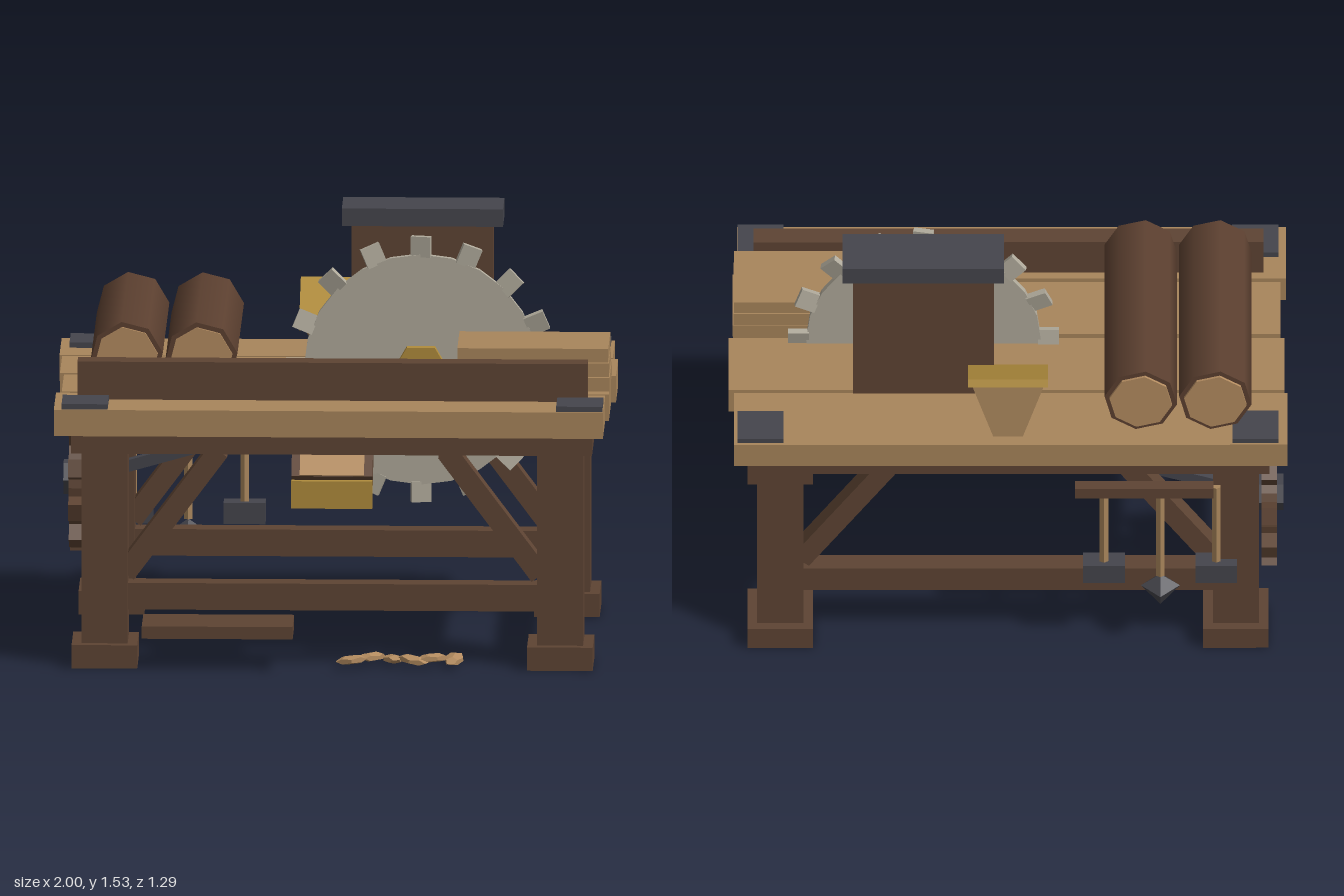
import * as THREE from 'three';

const mat = (name, color, flat = true) => {
  const m = new THREE.MeshStandardMaterial({ color, flatShading: flat });
  m.name = name;
  return m;
};

export function createModel() {
  const timber = mat('dark timber', 0x5e4433);
  const bark = mat('bark', 0x5c4030, false);
  const plank = mat('plank wood', 0xa8855b);
  const paleWood = mat('pale cut wood', 0xb48c60);
  const iron = mat('dark iron', 0x45454c);
  const steel = mat('blade steel', 0xb0aa9b);
  const brass = mat('brass', 0xb08c3c);

  const root = new THREE.Group();
  const add = (name, geo, m, x = 0, y = 0, z = 0, parent = root) => {
    const mesh = new THREE.Mesh(geo, m);
    mesh.name = name;
    mesh.position.set(x, y, z);
    parent.add(mesh);
    return mesh;
  };
  // box given by its lower and upper limits on each axis
  const block = (name, m, x0, x1, y0, y1, z0, z1) =>
    add(name, new THREE.BoxGeometry(x1 - x0, y1 - y0, z1 - z0), m,
      (x0 + x1) / 2, (y0 + y1) / 2, (z0 + z1) / 2);
  const group = (name, x, y, z) => {
    const g = new THREE.Group();
    g.name = name;
    g.position.set(x, y, z);
    root.add(g);
    return g;
  };

  // legs, feet, corner plates and diagonal braces
  for (const s of [-1, 1]) {
    for (const z of [0.47, -0.483]) {
      const x = s * 0.815;
      add('leg', new THREE.BoxGeometry(0.165, 0.75, 0.168), timber, x, 0.43, z);
      add('foot', new THREE.BoxGeometry(0.235, 0.085, 0.238), timber, x, 0.0425, z);
      add('brace', new THREE.BoxGeometry(0.075, 0.56, 0.075), timber, s * 0.575, 0.555, z)
        .rotation.z = s * 0.64;
      add('cornerPlate', new THREE.BoxGeometry(0.165, 0.022, 0.165), iron,
        s * 0.885, 0.96, z > 0 ? 0.535 : -0.553);
    }
    block('sideRail', timber, s * 0.815 - 0.04, s * 0.815 + 0.04, 0.2, 0.295, -0.4, 0.39);
  }
  for (const z of [0.47, -0.483]) block('longRail', timber, -0.74, 0.74, 0.2, 0.297, z - 0.04, z + 0.04);

  // table
  block('tableFrame', timber, -0.935, 0.93, 0.785, 0.856, -0.6, 0.59);
  [[-1, 0.98, -0.645], [-0.99, 1, -0.325], [-0.975, 0.983, 0.003], [-0.995, 0.97, 0.325]]
    .forEach(([x0, x1, z]) => block('tablePlank', plank, x0, x1, 0.856, 0.952, z, z + 0.303));
  block('fence', timber, -0.915, 0.91, 0.95, 1.09, 0.36, 0.44);

  // pillar
  block('pillar', timber, 0.05, 0.555, 0.95, 1.466, -0.345, -0.18);
  block('pillarCap', iron, 0.015, 0.592, 1.466, 1.53, -0.365, -0.16);

  // saw blade
  const saw = group('sawBlade', 0.302, 0.97, -0.042);
  add('bladeDisc', new THREE.CylinderGeometry(0.42, 0.42, 0.024, 24).rotateX(Math.PI / 2), steel, 0, 0, 0, saw);
  for (let i = 0; i < 16; i++) {
    const arm = new THREE.Group();
    arm.name = 'toothArm';
    arm.rotation.z = i * Math.PI / 8;
    saw.add(arm);
    const tooth = add('bladeTooth', new THREE.BoxGeometry(0.072, 0.075, 0.024), steel, 0, 0.447, 0, arm);
    tooth.rotation.y = i % 2 ? 0.2 : -0.2;
  }
  add('bladeHub', new THREE.CylinderGeometry(0.1, 0.1, 0.1, 6).rotateX(Math.PI / 2).rotateZ(Math.PI / 6), brass, 0, 0, -0.003, saw)
    .rotation.z = 0;

  // logs
  for (const x of [-0.742, -0.475]) {
    const log = group('log', x, 1.083, -0.112);
    const turn = (r, len) => new THREE.CylinderGeometry(r, r, len, 8).rotateX(Math.PI / 2).rotateZ(0.14);
    add('logBark', turn(0.131, 0.885), bark, 0, 0, 0, log);
    add('logCore', turn(0.113, 0.905), paleWood, 0, 0, 0, log);
  }

  // stacked boards
  for (let i = 0; i < 3; i++) {
    const y = 0.958 + i * 0.053, d = [0.003, 0, -0.002][i];
    block('stackedBoard', plank, 0.442 + d, 0.982 + d, y, y + 0.049, -0.02, 0.28);
  }

  // tilted hopper
  const hopper = group('hopper', 0, 1.12, -0.46);
  hopper.rotation.x = 0.46;
  add('hopperRim', new THREE.BoxGeometry(0.285, 0.03, 0.275), brass, 0, 0, 0, hopper);
  add('hopperBody', new THREE.CylinderGeometry(0.182, 0.075, 0.2, 4).rotateY(Math.PI / 4), plank, 0, -0.11, 0, hopper);

  // sawdust chute
  const chute = group('chute', 0, 0.787, 0.475);
  chute.rotation.x = 0.64;
  add('chuteBody', new THREE.BoxGeometry(0.29, 0.075, 0.34), timber, 0, 0, 0, chute);
  add('chuteFloor', new THREE.BoxGeometry(0.23, 0.006, 0.338), paleWood, 0, 0.039, 0, chute);
  block('chuteLip', brass, -0.145, 0.145, 0.6, 0.7, 0.602, 0.648);

  // drive gear and rod
  const gear = group('driveGear', -0.935, 0.507, -0.345);
  add('gearDisc', new THREE.CylinderGeometry(0.205, 0.205, 0.055, 20).rotateZ(Math.PI / 2), timber, 0, 0, 0, gear);
  for (let i = 0; i < 10; i++) {
    const arm = new THREE.Group();
    arm.name = 'gearArm';
    arm.rotation.x = i * Math.PI / 5;
    gear.add(arm);
    add('gearTooth', new THREE.BoxGeometry(0.055, 0.085, 0.065), timber, 0, 0.22, 0, arm);
  }
  add('gearHub', new THREE.CylinderGeometry(0.066, 0.066, 0.1, 6).rotateZ(Math.PI / 2).rotateX(Math.PI / 2), iron, 0, 0, 0, gear)
    .rotation.x = Math.PI / 2;
  const a = new THREE.Vector3(-0.95, 0.495, -0.347), b = new THREE.Vector3(0.2, 0.825, -0.318);
  const rod = add('driveRod', new THREE.BoxGeometry(0.042, 0.042, a.distanceTo(b)), iron);
  rod.position.copy(a).lerp(b, 0.5);
  rod.lookAt(b);

  // tool rack
  block('toolRack', timber, -0.735, -0.24, 0.695, 0.738, -0.628, -0.58);
  [-0.745, -0.545, -0.343].forEach((x, i) => {
    add('toolHandle', new THREE.CylinderGeometry(0.018, 0.018, 0.4, 6), plank, x, 0.51, -0.572);
    if (i === 1) {
      add('pickTop', new THREE.ConeGeometry(0.07, 0.05, 4), iron, x, 0.285, -0.572);
      add('pickTip', new THREE.ConeGeometry(0.07, 0.085, 4).rotateX(Math.PI), iron, x, 0.2175, -0.572);
    } else {
      add('malletHead', new THREE.BoxGeometry(0.15, 0.077, 0.08), iron, x, 0.337, -0.57);
    }
  });

  // step board
  block('stepBoard', timber, -0.68, -0.14, 0.12, 0.165, 0.42, 0.64);

  // wood shavings
  for (let i = 0; i < 6; i++) {
    const chip = add('shaving', new THREE.DodecahedronGeometry(0.06), paleWood,
      0.07 + i * 0.073, 0.034 + 0.006 * Math.sin(i * 2.1), 0.55 + 0.025 * Math.cos(i * 1.9));
    chip.scale.set(1, 0.28, 0.6);
    chip.rotation.set(0.1 * Math.sin(i * 3), i * 0.9, 0.12 * Math.cos(i * 2));
  }

  return root;
}
